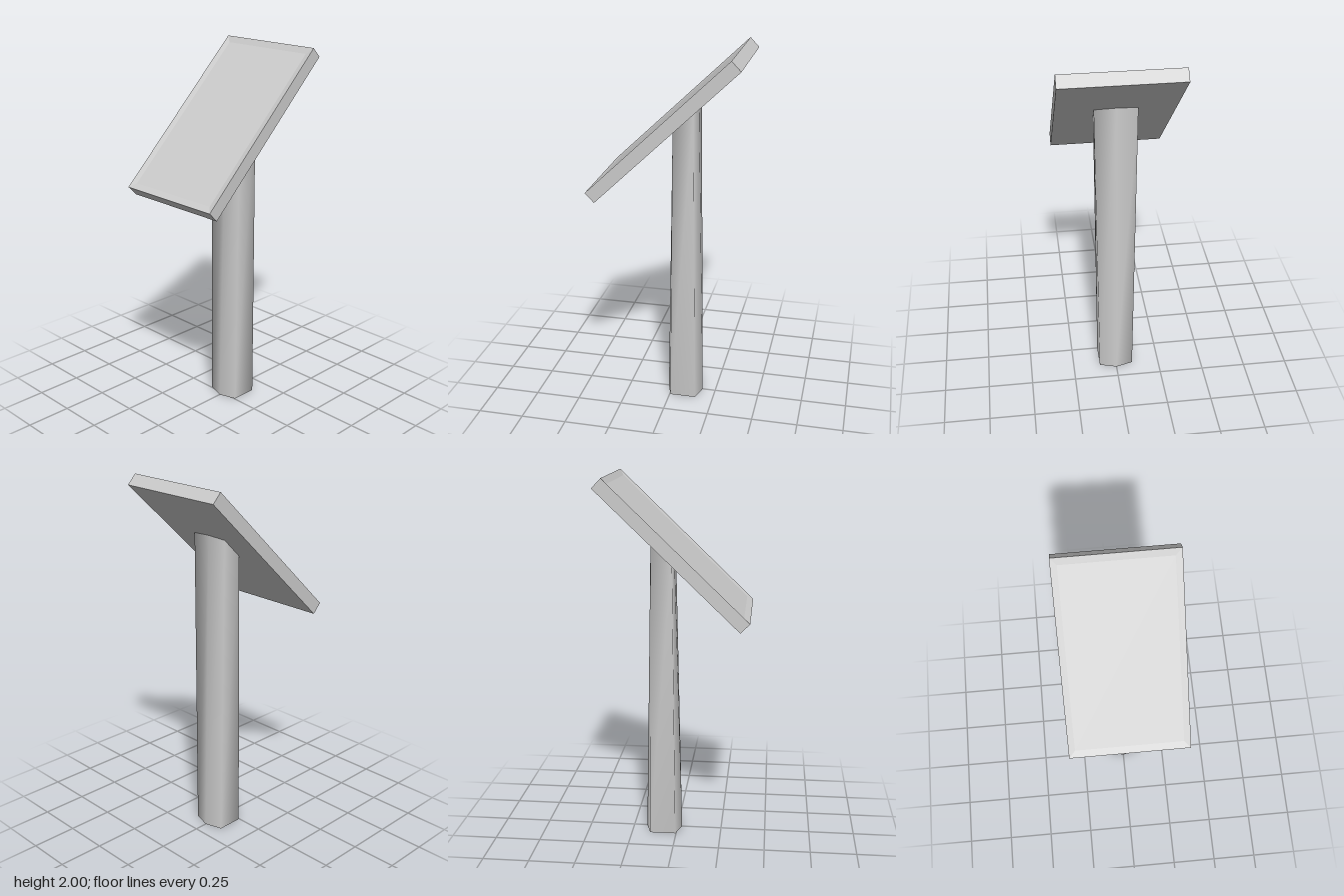
import * as THREE from 'three';

// Skin a series of equal-length rings (counter-clockwise seen from the end they rise to)
function loft(rings, caps = false) {
  const n = rings[0].length;
  const index = [];
  for (let r = 0; r < rings.length - 1; r++) {
    for (let i = 0; i < n; i++) {
      const j = (i + 1) % n;
      const a = r * n + i, b = r * n + j;
      index.push(a, b, b + n, a, b + n, a + n);
    }
  }
  if (caps) {
    const top = (rings.length - 1) * n;
    for (let i = 1; i < n - 1; i++) {
      index.push(0, i + 1, i);
      index.push(top, top + i, top + i + 1);
    }
  }
  const geometry = new THREE.BufferGeometry();
  geometry.setAttribute('position', new THREE.Float32BufferAttribute(rings.flat(2), 3));
  geometry.setIndex(index);
  geometry.computeVertexNormals();
  return geometry;
}

const rectangle = (w, h, z) => [[-w, -h, z], [w, -h, z], [w, h, z], [-w, h, z]];

export function createModel() {
  const model = new THREE.Group();

  // Tilted panel with a shallow recessed face
  const panel = new THREE.Mesh(
    loft([
      rectangle(0.31, 0.52, -0.035),
      rectangle(0.31, 0.52, 0.035),
      rectangle(0.277, 0.482, 0.028),
    ], true),
    new THREE.MeshStandardMaterial({ color: 0xcccccc, flatShading: true })
  );
  panel.name = 'tiltedPanel';
  panel.position.y = 1.615;
  panel.rotation.x = -0.806;
  model.add(panel);

  // Hollow six-sided post, its top cut to the slope of the panel's underside
  const underside = (z) => 1.235 + 0.96 * (0.35 - z);
  const section = (height, front, frontX, frontZ, backX, backZ, back) =>
    [[0, front], [frontX, frontZ], [backX, backZ], [0, back], [-backX, backZ], [-frontX, frontZ]]
      .map(([x, z]) => [x, height(z), z]);
  const post = new THREE.Mesh(
    loft([
      section(() => 0, 0.026, 0.096, -0.004, 0.096, -0.148, -0.176),
      section(underside, -0.018, 0.105, -0.02, 0.112, -0.13, -0.137),
    ]),
    new THREE.MeshStandardMaterial({ color: 0xcccccc, side: THREE.DoubleSide })
  );
  post.name = 'post';
  model.add(post);

  return model;
}
